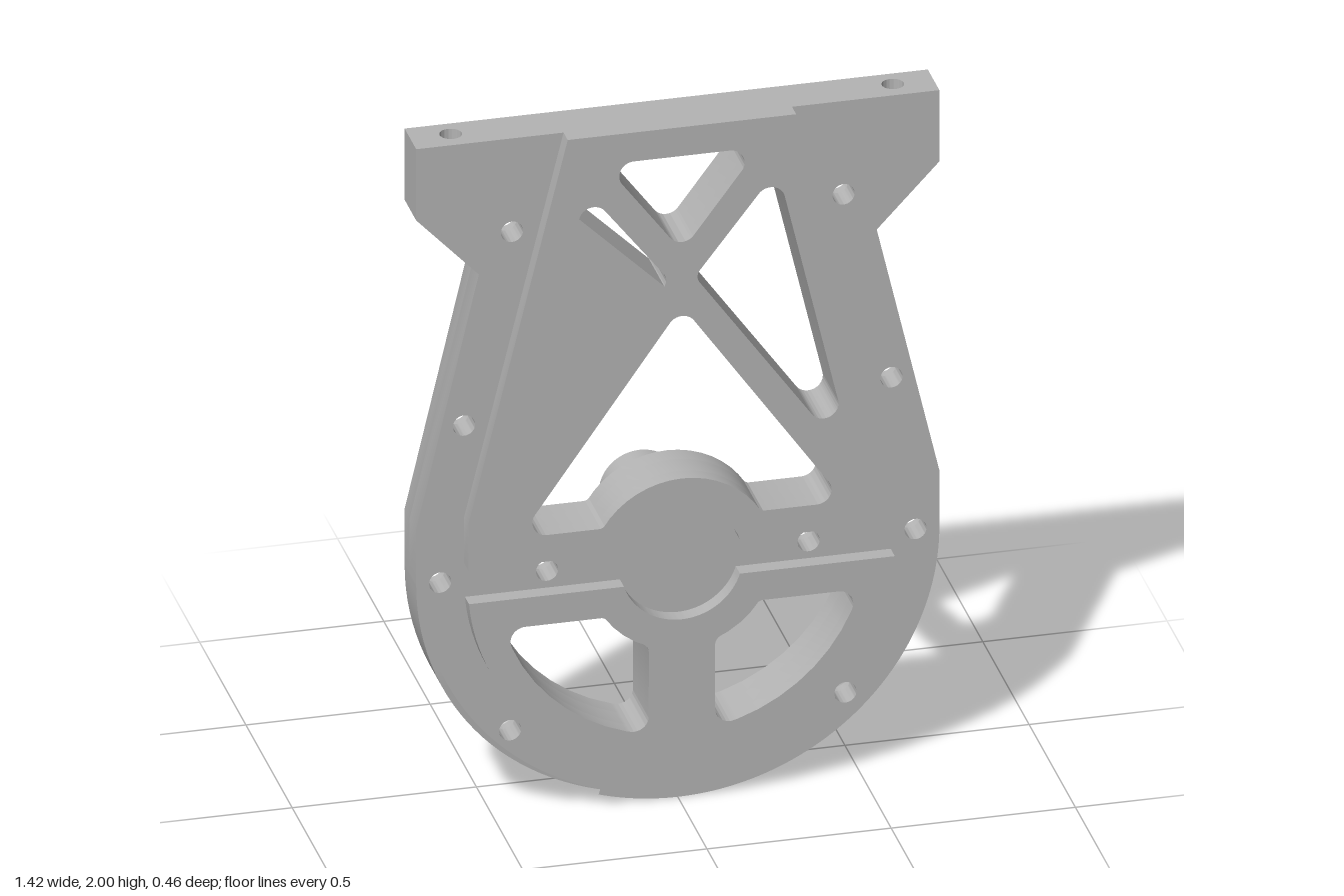
import * as THREE from 'three';
import { toCreasedNormals } from 'three/addons/utils/BufferGeometryUtils.js';

const CY = 0.715;                                // hub centre height
const Z_BACK = 0.06, Z_FACE = 0.185, Z_FRONT = 0.23;
const R_RIM = 0.71, R_FLOOR = 0.694;             // rim and groove floor
const V = (x, y) => new THREE.Vector2(x, y);

// Points on an arc about the hub, angles in degrees, both ends included
function arcPoints(r, from, to, n) {
  return Array.from({ length: n + 1 }, (_, i) => {
    const a = THREE.MathUtils.degToRad(from + (to - from) * i / n);
    return [r * Math.cos(a), CY + r * Math.sin(a)];
  });
}

// Closed path through [x, y, filletRadius] corners
function rounded(corners, side = 1) {
  const path = new THREE.Path();
  const pts = corners.map(([x, y]) => V(x * side, y));
  pts.forEach((p, i) => {
    const r = corners[i][2] || 0;
    if (!r) {
      if (i) path.lineTo(p.x, p.y); else path.moveTo(p.x, p.y);
      return;
    }
    const u = pts.at(i - 1).clone().sub(p).normalize();
    const v = pts[(i + 1) % pts.length].clone().sub(p).normalize();
    const half = Math.acos(u.dot(v)) / 2, t = r / Math.tan(half);
    const c = u.clone().add(v).normalize().multiplyScalar(r / Math.sin(half)).add(p);
    const s = u.multiplyScalar(t).add(p), e = v.clone().multiplyScalar(t).add(p);
    const clockwise = (s.x - c.x) * (e.y - c.y) - (s.y - c.y) * (e.x - c.x) < 0;
    if (!i) path.moveTo(s.x, s.y);
    path.absarc(c.x, c.y, r, Math.atan2(s.y - c.y, s.x - c.x), Math.atan2(e.y - c.y, e.x - c.x), clockwise);
  });
  path.closePath();
  return path;
}

const circle = (x, y, r) => new THREE.Path().absarc(x, y, r, 0, Math.PI * 2, false);

// Windows above and below the hub
function upperWindows() {
  const truss = (tip) => [[-0.47, 0.947, tip], [-0.26, 1.844, 0.04], [-0.035, 1.555, 0.03]];
  const arch = arcPoints(0.25, 149.2, 30.8, 16);
  arch[0].push(0.02);
  arch[16].push(0.02);
  return [
    rounded([[-0.21, 1.915, 0.04], [0.21, 1.915, 0.04], [0, 1.635, 0.04]]),
    rounded(truss(0)),
    rounded(truss(0.04), -1),
    rounded([[0, 1.473, 0.04], [-0.443, 0.843, 0.04], ...arch, [0.443, 0.843, 0.04]]),
  ];
}
function lowerWindows() {
  const outer = arcPoints(0.5, 259.6, 195.7, 9), inner = arcPoints(0.25, 212.7, 248.9, 4);
  outer[0].push(0.04);
  outer[9].push(0.04);
  inner[0].push(0.02);
  inner[4].push(0.03);
  return [1, -1].map((s) => rounded([...outer, ...inner], s));
}

const extrude = (shape, depth) => new THREE.ExtrudeGeometry(shape, { depth, bevelEnabled: false, curveSegments: 32 });

// One layer of the main plate with its bolt holes
function plateLayer(boltRadius, z0, z1) {
  const s = new THREE.Shape([V(-0.54, 2), V(-0.54, 1.61), V(-R_RIM, 0.88), V(-R_RIM, CY)]);
  s.absarc(0, CY, R_FLOOR, Math.PI, Math.PI * 2, false);
  s.lineTo(R_RIM, CY).lineTo(R_RIM, 0.88).lineTo(0.54, 1.61).lineTo(0.54, 2);
  s.holes.push(...upperWindows(), ...lowerWindows());
  for (const [x, y] of [[0.45, 1.725], [0.58, 1.17], [0.645, CY], [0.355, CY], [0.455, 0.257]])
    for (const side of [-1, 1]) s.holes.push(circle(x * side, y, boltRadius));
  return extrude(s, z1 - z0).translate(0, 0, z0);
}

// Raised pads, split by the slot and the round hub recess
function upperPad() {
  const s = new THREE.Shape([V(0.31, 2), V(-0.31, 2), V(-0.58, 0.9), V(-0.58, 0.765)]);
  const a = Math.asin(0.05 / 0.165);
  s.absarc(0, CY, 0.165, Math.PI - a, a, true);
  s.lineTo(0.58, 0.765).lineTo(0.58, 0.9);
  s.holes.push(...upperWindows());
  return extrude(s, Z_FRONT - Z_FACE).translate(0, 0, Z_FACE);
}
function lowerPad() {
  const s = new THREE.Shape();
  const a = Math.asin(0.05 / 0.58), b = Math.asin(0.05 / 0.165);
  s.absarc(0, CY, 0.58, Math.PI + a, Math.PI * 2 - a, false);
  s.absarc(0, CY, 0.165, -b, Math.PI + b, true);
  s.holes.push(...lowerWindows());
  return extrude(s, Z_FRONT - Z_FACE).translate(0, 0, Z_FACE);
}

// Ear layer pierced vertically; its underside follows low(|x|)
function earLayer(side, hole, low, top) {
  const s = new THREE.Shape([V(0.54, -Z_BACK), V(R_RIM, -Z_BACK), V(R_RIM, -Z_FACE), V(0.54, -Z_FACE)]
    .map((p) => V(p.x * side, p.y)));
  s.holes.push(hole);
  const g = extrude(s, 1).rotateX(-Math.PI / 2);
  const p = g.attributes.position;
  for (let i = 0; i < p.count; i++) {
    const y0 = low(Math.abs(p.getX(i)));
    p.setY(i, y0 + p.getY(i) * (top - y0));
  }
  return g;
}

// Rim band swept clockwise below the hub, between z limits given by degrees
function rimBand(endDeg, zLow, zHigh) {
  const n = 64, pos = [], idx = [];
  for (let i = 0; i <= n; i++) {
    const deg = endDeg * i / n, a = THREE.MathUtils.degToRad(deg);
    for (const [r, z] of [[0.692, zLow(deg)], [R_RIM, zLow(deg)], [R_RIM, zHigh(deg)], [0.692, zHigh(deg)]])
      pos.push(r * Math.cos(a), CY - r * Math.sin(a), z);
    if (i === n) break;
    for (let k = 0; k < 4; k++) {
      const p = i * 4 + k, q = i * 4 + (k + 1) % 4;
      idx.push(p, q, p + 4, q, q + 4, p + 4);
    }
  }
  const g = new THREE.BufferGeometry();
  g.setAttribute('position', new THREE.Float32BufferAttribute(pos, 3));
  g.setIndex(idx);
  return g;
}

export function createModel() {
  const group = new THREE.Group();
  const grey = new THREE.MeshStandardMaterial({ color: 0xb4b4b4 });
  grey.name = 'grey';
  const add = (name, geometry) => {
    const mesh = new THREE.Mesh(toCreasedNormals(geometry, 0.5), grey);
    mesh.name = name;
    group.add(mesh);
  };

  // Plate: counterbored back layer and plain front layer
  add('plateBack', plateLayer(0.046, Z_BACK, 0.115));
  add('plateFront', plateLayer(0.03, 0.115, Z_FACE));
  add('upperPad', upperPad());
  add('lowerPad', lowerPad());

  // Mounting ears with a bolt hole above a hexagonal nut pocket
  const zc = -0.12;
  for (const side of [-1, 1]) {
    const x = 0.6 * side;
    const hex = new THREE.Path(Array.from({ length: 6 }, (_, i) =>
      V(x + 0.05 * Math.sin(i * Math.PI / 3), zc + 0.05 * Math.cos(i * Math.PI / 3))));
    const name = side > 0 ? 'left' : 'right';
    add(name + 'Ear', earLayer(side, circle(x, zc, 0.03), () => 1.8, 2));
    add(name + 'EarNutPocket', earLayer(side, hex, (d) => 1.61 + (d - 0.54) * 0.18 / 0.17, 1.8));
  }

  // Rim with a slanted groove that runs out through the front face
  const groove = (deg) => 0.09 + 0.00072 * deg;
  add('rimBehindGroove', rimBand(180, () => Z_BACK, (d) => Math.min(Z_FACE, groove(d) - 0.0175)));
  add('rimBeforeGroove', rimBand(107.6, (d) => groove(d) + 0.0175, () => Z_FACE));

  // Shaft on the back
  add('shaft', new THREE.CylinderGeometry(0.11, 0.11, 0.33, 48).rotateX(Math.PI / 2).translate(0, CY, -0.065));
  return group;
}
